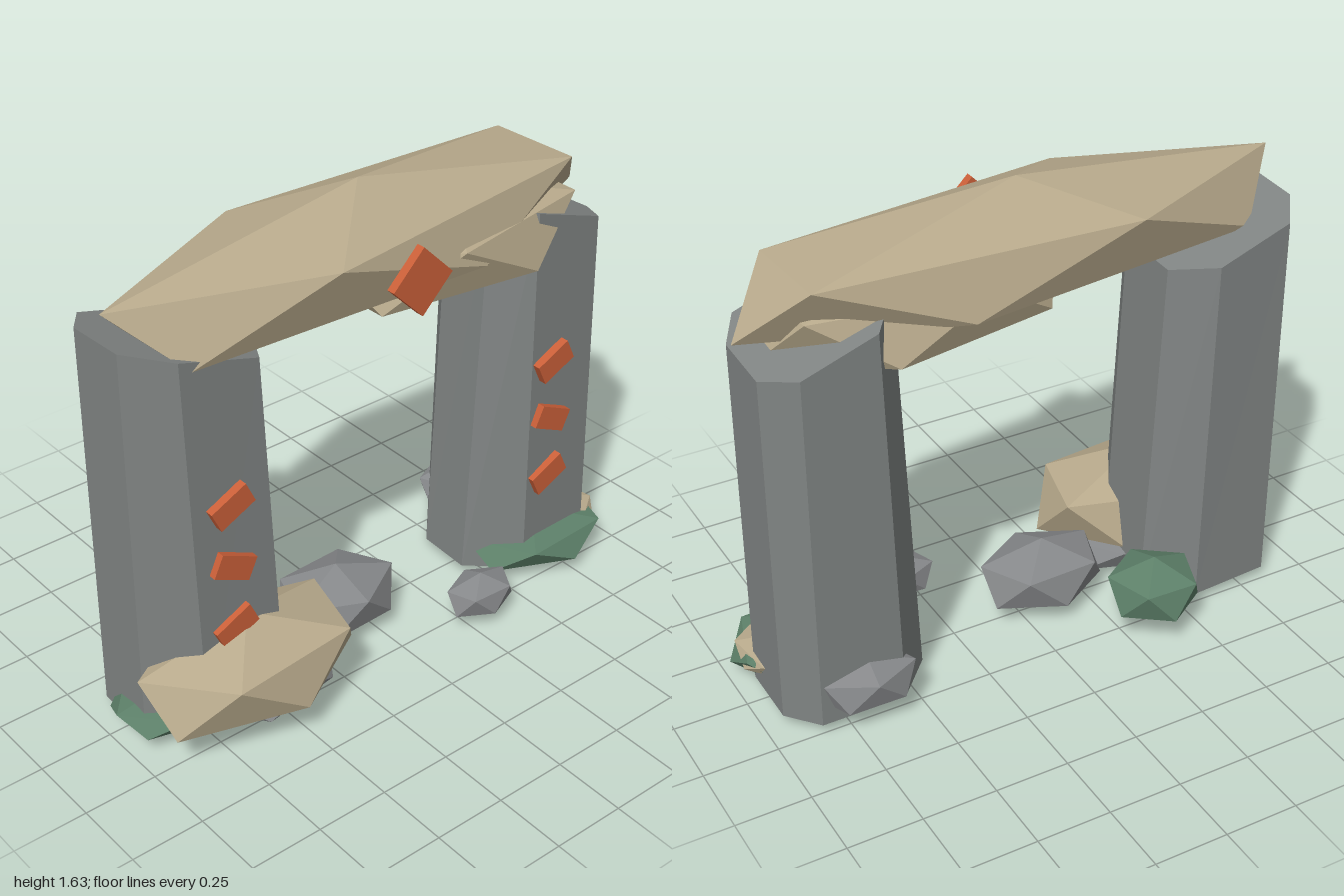
import * as THREE from 'three';

const flat = (name, color) => {
  const m = new THREE.MeshStandardMaterial({ color });
  m.name = name;
  return m;
};

export function createModel() {
  const group = new THREE.Group();
  const pillarGrey = flat('pillar grey', 0x808483);
  const rockGrey = flat('rock grey', 0x86888a);
  const sandstone = flat('sandstone', 0xb8aa8c);
  const moss = flat('moss green', 0x5d8069);
  const rune = flat('rune orange', 0xcb6039);

  const add = (name, geometry, material) => {
    const mesh = new THREE.Mesh(geometry, material);
    mesh.name = name;
    group.add(mesh);
    return mesh;
  };

  // Faceted stone: icosahedron standing on a corner; spin is the bearing
  // (degrees from +x towards +z) of one corner of its upper ring
  const rock = (name, material, [x, y, z], [rx, ry, rz], spin = 180, yaw = 0) => {
    const g = new THREE.IcosahedronGeometry(1, 0);
    g.rotateX(-Math.atan((1 + Math.sqrt(5)) / 2));
    g.rotateY(THREE.MathUtils.degToRad(90 - spin));
    g.scale(rx, ry, rz).rotateY(yaw).translate(x, y, z);
    g.computeVertexNormals();
    add(name, g, material);
  };

  // Eight-sided pillar from a bottom and a top loop of corners
  const pillar = (name, bottom, top) => {
    const pos = [];
    const tri = (...points) => points.forEach((p) => pos.push(...p));
    const mean = (loop) => [0, 1, 2].map((k) => loop.reduce((s, p) => s + p[k], 0) / loop.length);
    const cb = mean(bottom), ct = mean(top);
    bottom.forEach((a, i) => {
      const j = (i + 1) % bottom.length;
      tri(a, top[i], bottom[j]);
      tri(bottom[j], top[i], top[j]);
      tri(ct, top[j], top[i]);
      tri(cb, a, bottom[j]);
    });
    const g = new THREE.BufferGeometry();
    g.setAttribute('position', new THREE.Float32BufferAttribute(pos, 3));
    g.computeVertexNormals();
    add(name, g, pillarGrey);
  };

  // Each corner: bottom x, bottom z, top x; the top slopes down towards +x
  const makePillar = (name, corners, high, slope) => pillar(
    name,
    corners.map(([x, z]) => [x, 0.045, z]),
    corners.map(([, z, tx]) => [tx, high - slope * (tx - corners[0][2]) + 0.05 * z, z > 0.15 ? z - 0.02 : z]),
  );
  makePillar('rightPillar', [
    [-0.93, 0.1, -0.935], [-0.93, -0.12, -0.935], [-0.84, -0.24, -0.85], [-0.55, -0.26, -0.58],
    [-0.4, -0.14, -0.46], [-0.4, 0.1, -0.46], [-0.47, 0.22, -0.52], [-0.77, 0.22, -0.8],
  ], 1.41, 0.3);
  makePillar('leftPillar', [
    [0.42, 0.08, 0.49], [0.43, -0.12, 0.49], [0.56, -0.26, 0.6], [0.85, -0.26, 0.85],
    [0.94, -0.155, 0.94], [0.94, 0.07, 0.94], [0.87, 0.21, 0.87], [0.58, 0.22, 0.59],
  ], 1.43, 0.35);

  // Lintel stones
  rock('lintel', sandstone, [0.01, 1.428, 0], [1.07, 0.207, 0.315], 180, 0.045);
  rock('lintelUnderside', sandstone, [0.38, 1.325, 0], [0.57, 0.188, 0.3], 180, 0.02);

  // Rune plates
  const diamond = add('lintelRune', new THREE.BoxGeometry(0.163, 0.163, 0.03), rune);
  diamond.position.set(0.01, 1.405, 0.292);
  diamond.rotation.z = Math.PI / 4;
  for (const x of [-0.655, 0.67]) {
    [0.85, 0.63, 0.405].forEach((y, i) => {
      const bar = add('pillarRune', new THREE.BoxGeometry(0.14, 0.08, 0.03), rune);
      bar.position.set(x, y, 0.221);
      bar.rotation.z = i % 2 ? -0.44 : 0.44;
    });
  }

  // Stones around the right pillar
  rock('largeBoulder', sandstone, [-0.59, 0.223, 0.19], [0.44, 0.182, 0.265], 45);
  rock('flatStone', rockGrey, [-0.5, 0.09, 0.14], [0.28, 0.085, 0.22], 150);
  rock('mossyFlatStone', moss, [-0.78, 0.09, 0.05], [0.245, 0.06, 0.2], 180);
  rock('mossyBackStone', moss, [-0.36, 0.165, -0.28], [0.175, 0.115, 0.17], 20);

  // Stones in the gateway
  rock('middleStone', rockGrey, [-0.1, 0.135, 0.02], [0.245, 0.128, 0.18], 15);
  rock('smallStone', rockGrey, [0.32, 0.097, 0.28], [0.143, 0.08, 0.1], 130);

  // Stones around the left pillar
  rock('mossySlab', moss, [0.72, 0.1, 0.11], [0.31, 0.085, 0.235], 50);
  rock('sandySlab', sandstone, [0.86, 0.12, 0.09], [0.135, 0.053, 0.175], 25);
  rock('backStone', rockGrey, [0.68, 0.145, -0.23], [0.185, 0.1, 0.125], 200);

  return group;
}
